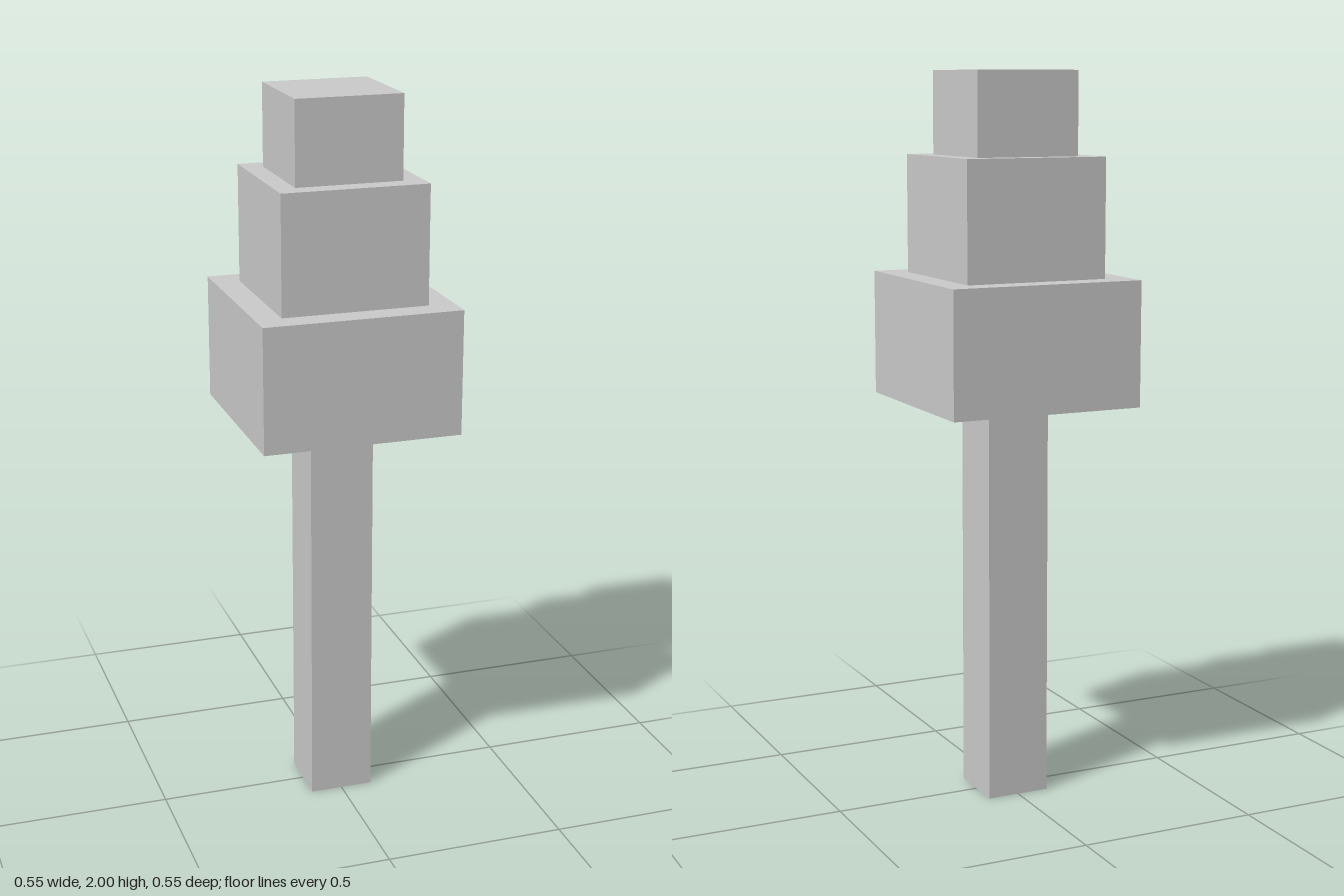
import * as THREE from 'three';

export function createModel() {
  const model = new THREE.Group();
  model.name = 'blockTree';
  const material = new THREE.MeshStandardMaterial({ color: 0xcccccc, flatShading: true });

  // Square block of a given width between two heights
  function addBlock(name, width, bottom, top) {
    const block = new THREE.Mesh(new THREE.BoxGeometry(width, top - bottom, width), material);
    block.name = name;
    block.position.y = (bottom + top) / 2;
    model.add(block);
  }

  // Trunk, then three foliage tiers narrowing upwards
  addBlock('trunk', 0.177, 0, 1.11);
  addBlock('lowerFoliage', 0.545, 1.11, 1.452);
  addBlock('middleFoliage', 0.402, 1.452, 1.775);
  addBlock('upperFoliage', 0.292, 1.775, 2);

  return model;
}
